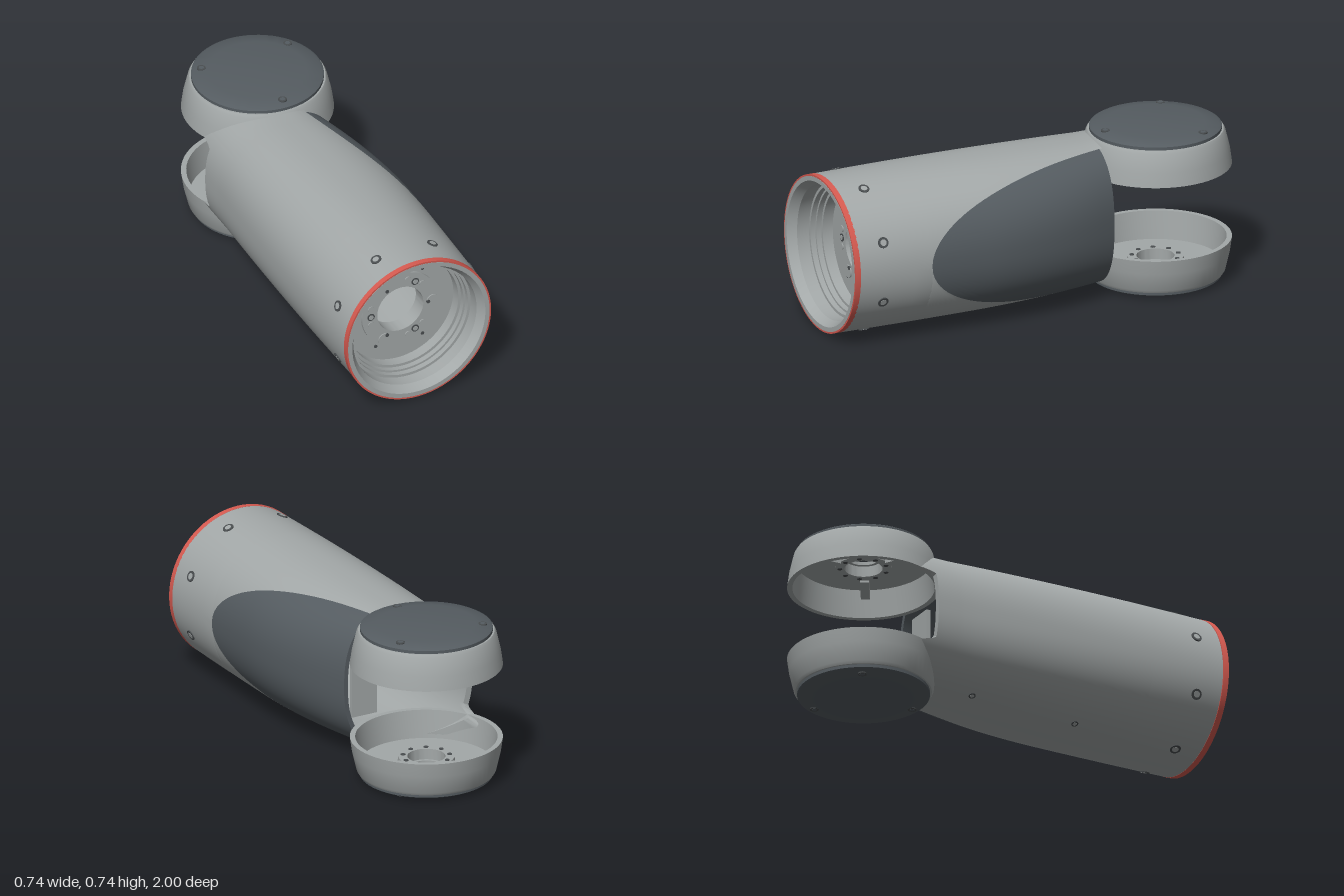
import * as THREE from 'three';
import { mergeVertices, toCreasedNormals } from 'three/addons/utils/BufferGeometryUtils.js';

const CX = -0.01, CY = 0.37;   // axis of the arm tube
const KX = 0.015, KZ = -0.66;  // axis of the knuckle joint
const REAR = -0.34, TIP = 0.62;

const mat = (name, color, side = THREE.FrontSide) => {
  const m = new THREE.MeshStandardMaterial({ color, side });
  m.name = name;
  return m;
};

const add = (parent, name, geo, material, x = 0, y = 0, z = 0) => {
  const m = new THREE.Mesh(geo, material);
  m.name = name;
  m.position.set(x, y, z);
  parent.add(m);
  return m;
};

// weld, then smooth everything but sharp edges
function smooth(geo, angle = 0.5) {
  geo.deleteAttribute('uv');
  geo.deleteAttribute('normal');
  return toCreasedNormals(mergeVertices(geo, 1e-5), angle);
}

const lathe = (pts, seg = 64) =>
  smooth(new THREE.LatheGeometry(pts.map(p => new THREE.Vector2(...p)), seg));

// arm cross-section: round in front, squarer and narrower to the rear
function section(z, inset = 0) {
  const k = THREE.MathUtils.clamp((1 - z) / 1.35, 0, 1);
  const right = z > 0.3 ? 0.375 - 0.0215 * (z - 0.3) : 0.375 - 0.28 * (z - 0.3) ** 2;
  return {
    n: 2 + 0.45 * k,
    aL: 0.355 - 0.027 * k * k - inset,
    aR: right - inset,
    b: 0.36 - 0.03 * k * k - inset,
  };
}

function surface(z, t, inset = 0) {
  const s = section(z, inset), c = Math.cos(t), q = Math.sin(t), e = 2 / s.n;
  const x = CX + (c > 0 ? s.aR : s.aL) * Math.sign(c) * Math.abs(c) ** e;
  return new THREE.Vector3(x, CY + s.b * Math.sign(q) * Math.abs(q) ** e, z);
}

// angle of the seam between shell and side cover
function seam(z) {
  if (z >= TIP) return 0;
  const t = Math.min(1, (TIP - z) / 0.97);
  const h = 0.315 * Math.sqrt(1 - (1 - t) ** 2.5);
  const s = section(z);
  return Math.asin(Math.min(1, (h / s.b) ** (s.n / 2)));
}

// the shell's rear edge follows the joint, with a cut-out in the middle
function rearEdge(p) {
  const joint = KZ + Math.sqrt(Math.max(0, 0.305 ** 2 - (p.x - KX) ** 2));
  const limit = -0.475 - 0.125 * THREE.MathUtils.smoothstep(Math.abs(p.y - CY), 0.155, 0.195);
  return Math.min(REAR, Math.max(joint, limit));
}

// rows of { z, ext, inset } run along the outside and back along the inside
function shell(rows, from, to, cols) {
  const pos = [], idx = [];
  rows.forEach(({ z, ext, inset }, i) => {
    for (let j = 0; j <= cols; j++) {
      const t = THREE.MathUtils.lerp(from(z), to(z), j / cols);
      const p = surface(z, t, inset);
      if (ext) p.z += (rearEdge(p) - z) * ext;
      pos.push(p.x, p.y, p.z);
      if (i && j) {
        const d = i * (cols + 1) + j, c = d - 1, b = d - cols - 1, a = b - 1;
        idx.push(a, c, b, b, c, d);
      }
    }
  });
  const g = new THREE.BufferGeometry();
  g.setAttribute('position', new THREE.Float32BufferAttribute(pos, 3));
  g.setIndex(idx);
  return toCreasedNormals(mergeVertices(g, 1e-5), 0.6);
}

const thick = (rows, inset) => [
  ...rows.map(r => ({ ...r, inset: 0 })),
  ...rows.slice().reverse().map(r => ({ ...r, inset })),
];

export function createModel() {
  const root = new THREE.Group();
  root.name = 'robotArmLink';
  const grey = mat('satin grey', 0xa3a8a8);
  const greyShell = mat('shell grey', 0xa3a8a8, THREE.DoubleSide);
  const dark = mat('dark cover grey', 0x555c61);
  const darkShell = mat('dark shell grey', 0x555c61, THREE.DoubleSide);
  const red = mat('red', 0xd65a50);
  const recess = mat('recess grey', 0x4a4e50);

  // arm shell and inset side cover
  const tail = [];
  for (let i = 0; i <= 24; i++) tail.push({ z: TIP - (TIP - REAR) * (i / 24) ** 1.7, ext: 0 });
  const body = [0.975, 0.9, 0.8, 0.7].map(z => ({ z, ext: 0 })).concat(tail);
  for (let i = 1; i <= 5; i++) body.push({ z: REAR, ext: i / 5 });
  add(root, 'armShell', shell(thick(body, 0.028), seam, z => 2 * Math.PI - seam(z), 112), greyShell);
  add(root, 'sideCover', shell(thick(tail, 0.02), z => -seam(z), seam, 48), darkShell);
  add(root, 'innerBracket', new THREE.BoxGeometry(0.13, 0.34, 0.02), grey, 0.125, CY, -0.3);

  // front socket, turned around the arm axis
  const socket = new THREE.Group();
  socket.name = 'frontSocket';
  socket.position.set(CX, CY, 0);
  root.add(socket);
  add(socket, 'socketRings', lathe([
    [0.115, 0.74], [0.325, 0.74], [0.327, 0.97], [0.353, 0.975], [0.353, 1], [0.332, 1], [0.308, 0.96],
    [0.308, 0.9], [0.295, 0.9], [0.295, 0.875], [0.285, 0.875], [0.285, 0.85], [0.272, 0.85], [0.272, 0.8],
    [0.19, 0.8], [0.19, 0.815], [0.115, 0.815], [0.115, 0.74]], 72).rotateX(Math.PI / 2), grey);
  add(socket, 'redSeal', lathe([
    [0.352, 0.972], [0.361, 0.972], [0.361, 0.999], [0.352, 0.999]], 72).rotateX(Math.PI / 2), red);

  // bolt pattern on the flange: three pads, three bolt groups
  const disc = (r, h = 0.006) => new THREE.CylinderGeometry(r, r, h, 20).rotateX(Math.PI / 2);
  const polar = (r, a) => [r * Math.cos(a), r * Math.sin(a)];
  for (let i = 0; i < 3; i++) {
    const a = i * Math.PI * 2 / 3, b = a + Math.PI;
    add(socket, 'flangePad', disc(0.03), grey, ...polar(0.16, a), 0.817);
    add(socket, 'padHole', disc(0.009), recess, ...polar(0.137, a), 0.819);
    add(socket, 'flangeBolt', disc(0.018), recess, ...polar(0.147, b), 0.815);
    add(socket, 'boltHead', disc(0.012), grey, ...polar(0.147, b), 0.817);
    for (const s of [-1, 1])
      add(socket, 'flangeHole', disc(0.015), grey, ...polar(0.153, b + s * 0.28), 0.816);
  }
  for (const x of [-0.117, 0.117]) for (const y of [-0.177, 0.177])
    add(socket, 'pinHole', disc(0.008), recess, x, y, 0.801);

  // screws sunk around the front of the shell
  const shellScrew = (z, t, r) => {
    const p = surface(z, t);
    const n = new THREE.Vector3(p.x - CX, p.y - CY, 0).normalize();
    const g = new THREE.Group();
    g.name = 'shellScrew';
    g.position.copy(p);
    g.quaternion.setFromUnitVectors(new THREE.Vector3(0, 0, 1), n);
    add(g, 'screwRecess', disc(r, 0.008), recess);
    add(g, 'screwHead', disc(r * 0.6, 0.008), grey, 0, 0, 0.001);
    root.add(g);
  };
  for (let i = 0; i < 8; i++) shellScrew(0.85, (i + 0.5) * Math.PI / 4, 0.025);
  for (const z of [0.33, -0.2]) shellScrew(z, -1.95, 0.016);

  // two knuckle cups, mirrored about the arm axis
  const cupGeo = lathe([
    [0.07, 0.032], [0.305, 0.032], [0.313, 0.045], [0.333, 0.13], [0.342, 0.195], [0.318, 0.195],
    [0.303, 0.065], [0.13, 0.065], [0.125, 0.1], [0.085, 0.1], [0.085, 0.05], [0.07, 0.05], [0.07, 0.032]]);
  const capGeo = lathe([
    [0, 0], [0.22, 0.001], [0.285, 0.011], [0.297, 0.018], [0.297, 0.034], [0, 0.034]]);
  const small = (r, h) => new THREE.CylinderGeometry(r, r, h, 16);
  for (const upper of [false, true]) {
    const cup = new THREE.Group();
    cup.name = upper ? 'upperKnuckle' : 'lowerKnuckle';
    cup.position.set(KX, upper ? 2 * CY : 0, KZ);
    cup.rotation.z = upper ? Math.PI : 0;
    root.add(cup);
    add(cup, 'knuckleCup', cupGeo, grey);
    add(cup, 'knuckleCap', capGeo, dark);
    for (const [x, z] of [[-0.215, -0.13], [0.215, -0.13], [0, 0.25]]) {
      add(cup, 'capScrew', small(0.02, 0.008), recess, x, 0.0065, z);
      add(cup, 'capScrewHead', small(0.012, 0.008), dark, x, 0.0055, z);
    }
    for (let i = 0; i < 9; i++) {
      const [x, z] = polar(0.106, i * Math.PI * 2 / 9);
      add(cup, 'hubBolt', small(0.011, 0.006), recess, x, 0.1, z);
    }
    // radial ribs inside the upper cup
    if (upper) for (let i = 0; i < 3; i++) {
      const a = i * Math.PI * 2 / 3 + 0.5, [x, z] = polar(0.215, a);
      add(cup, 'cupRib', new THREE.BoxGeometry(0.18, 0.05, 0.04), grey, x, 0.085, z).rotation.y = -a;
    }
  }
  return root;
}
